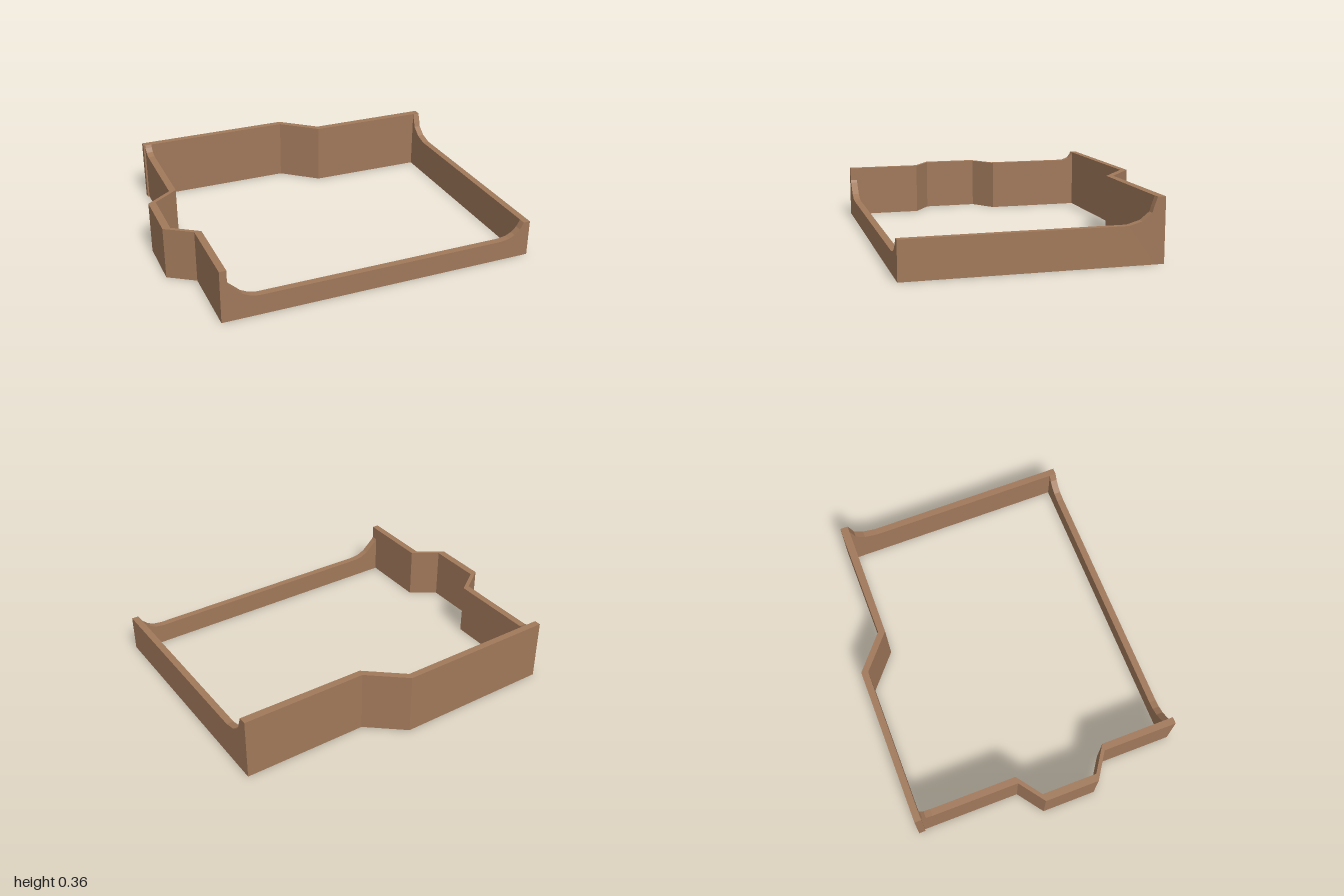
import * as THREE from 'three';

const material = new THREE.MeshStandardMaterial({ color: 0xa0785a, flatShading: true });

function extrude(points, depth) {
  const shape = new THREE.Shape(points.map(([a, b]) => new THREE.Vector2(a, b)));
  return new THREE.ExtrudeGeometry(shape, { depth, bevelEnabled: false });
}

// Plan outline given as [x, z], raised from the ground to a height
function planWall(points, height) {
  return extrude(points.map(([x, z]) => [x, -z]), height).rotateX(-Math.PI / 2);
}

// Side outline given as [z, y], thickened from xMax towards -x
function sideWall(points, xMax, thickness) {
  return extrude(points, thickness).rotateY(-Math.PI / 2).translate(xMax, 0, 0);
}

export function createModel() {
  const group = new THREE.Group();
  const add = (name, geometry) => {
    const mesh = new THREE.Mesh(geometry, material);
    mesh.name = name;
    group.add(mesh);
  };

  // Tall back wall with a diagonal step
  add('backWall', planWall([
    [-0.86, -0.797], [0.07, -0.797], [0.275, -0.625], [1, -0.625],
    [1, -0.578], [0.265, -0.585], [0.06, -0.758], [-0.86, -0.758],
  ], 0.362));

  // Side wall with a trapezoidal bay bulging outwards
  add('bayWall', planWall([
    [-0.85, 0.795], [-0.85, 0.35], [-1, 0.25], [-1, -0.07], [-0.85, -0.18], [-0.85, -0.758],
    [-0.81, -0.758], [-0.81, -0.18], [-0.957, -0.073], [-0.957, 0.253], [-0.81, 0.353], [-0.81, 0.795],
  ], 0.308));

  // Small fillet where the bay wall rises to meet the back wall
  add('bayWallFillet', sideWall([
    [-0.69, 0.308], [-0.73, 0.322], [-0.75, 0.345], [-0.758, 0.362], [-0.758, 0.308],
  ], -0.81, 0.04));

  // Straight side wall sweeping up at the back
  add('straightSideWall', sideWall([
    [0.795, 0], [0.795, 0.215], [-0.42, 0.215], [-0.495, 0.235], [-0.55, 0.278],
    [-0.56, 0.31], [-0.579, 0.362], [-0.579, 0],
  ], 1, 0.04));

  // Low front wall with curved ends
  add('frontWall', extrude([
    [-0.81, 0], [0.96, 0], [0.96, 0.215], [0.938, 0.175], [0.905, 0.145], [0.87, 0.128], [0.82, 0.12],
    [-0.64, 0.12], [-0.685, 0.128], [-0.73, 0.15], [-0.80, 0.215], [-0.81, 0.23],
  ], 0.04).translate(0, 0, 0.755));

  return group;
}
